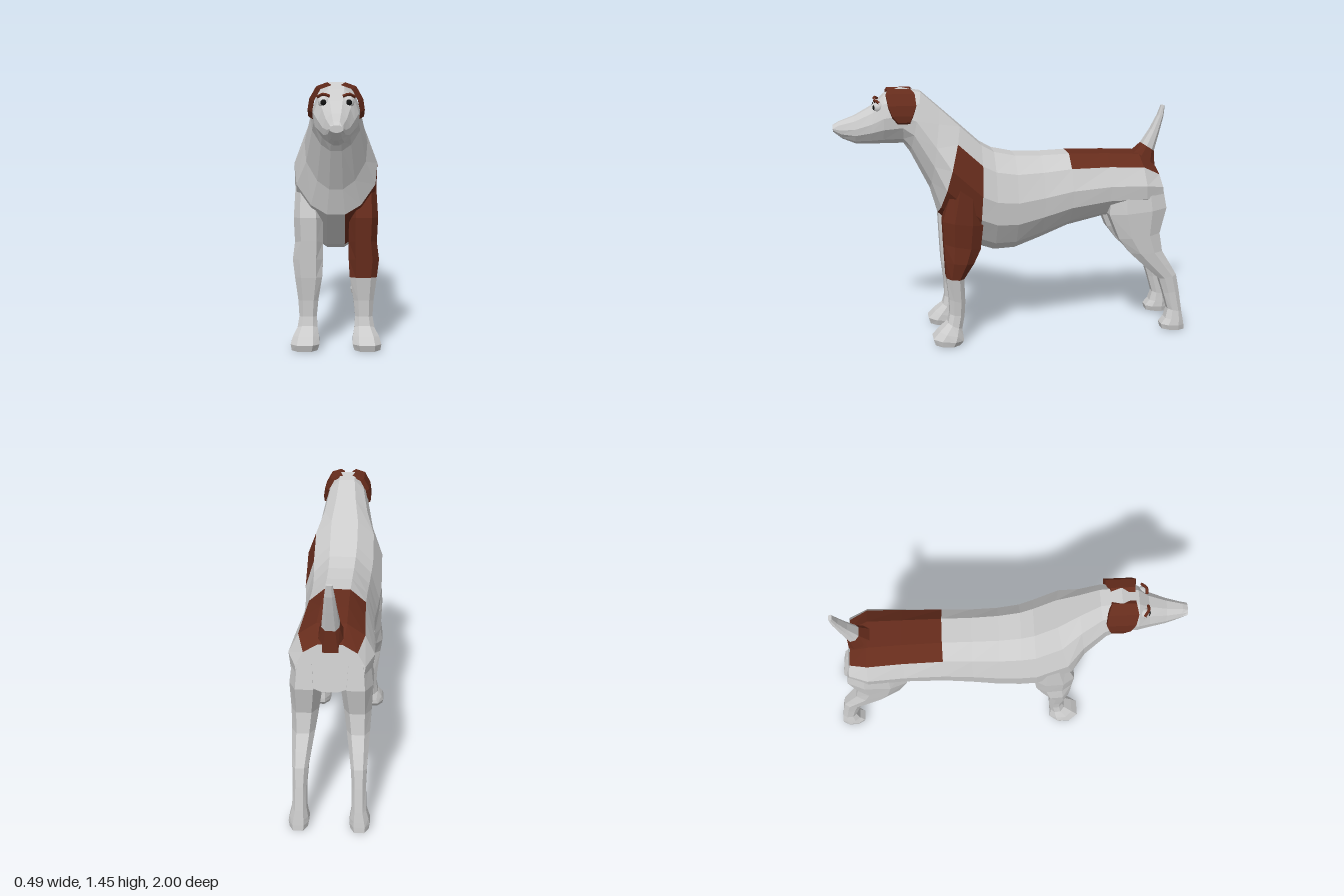
import * as THREE from 'three';

const GREY = 0xcccccc, BROWN = 0x662c1c, BLACK = 0x111111;
const mat = (color) => new THREE.MeshStandardMaterial({ color, flatShading: true });

// Skin closed rings of points; isBrown(segment, strip) picks the marked faces.
function loft(name, rings, isBrown = () => false) {
  const n = rings[0].length, grey = [], brown = [];
  for (let i = 0; i < rings.length - 1; i++) {
    for (let j = 0; j < n; j++) {
      const k = (j + 1) % n, a = rings[i], b = rings[i + 1];
      (isBrown(i, j) ? brown : grey).push([a[j], a[k], b[k]], [a[j], b[k], b[j]]);
    }
  }
  const last = rings[rings.length - 1];
  const capBrown = isBrown(rings.length - 2, 0);
  for (let j = 1; j < n - 1; j++) {
    (isBrown(0, 0) && capBrown ? brown : grey).push([rings[0][0], rings[0][j + 1], rings[0][j]]);
    (capBrown ? brown : grey).push([last[0], last[j], last[j + 1]]);
  }
  // Turn the faces outward whichever way the rings run
  let volume = 0;
  const c = rings[0][0], e = new THREE.Vector3();
  for (const [p, q, r] of [...grey, ...brown]) {
    const u = p.clone().sub(c), v = q.clone().sub(c), w = r.clone().sub(c);
    volume += u.dot(e.crossVectors(v, w));
  }
  const group = new THREE.Group();
  group.name = name;
  for (const [tris, color, label] of [[grey, GREY, 'Coat'], [brown, BROWN, 'Patch']]) {
    if (!tris.length) continue;
    const pts = tris.flatMap(([p, q, r]) => (volume < 0 ? [p, r, q] : [p, q, r]));
    const geo = new THREE.BufferGeometry().setFromPoints(pts);
    geo.computeVertexNormals();
    const mesh = new THREE.Mesh(geo, mat(color));
    mesh.name = name + label;
    group.add(mesh);
  }
  return group;
}

// Body section from a top point to a bottom point: [zTop, yTop, zBottom, yBottom, halfWidth]
const HALF = [[0.35, 0], [0.77, 0.17], [1, 0.45], [0.95, 0.68], [0.6, 0.9], [0.22, 1]];
function bodyRing([zt, yt, zb, yb, w]) {
  const side = (s) => HALF.map(([u, v]) =>
    new THREE.Vector3(s * u * w, yt + (yb - yt) * v, zt + (zb - zt) * v));
  return [...side(1), ...side(-1).reverse()];
}

// Limb section from front to back: [zFront, yFront, zBack, yBack, xInner, xOuter]
const OCT = [[0, -0.55], [0, 0.55], [0.28, 1], [0.72, 1], [1, 0.55], [1, -0.55], [0.72, -1], [0.28, -1]];
const limbRing = (s) => ([zf, yf, zb, yb, xi, xo]) => OCT.map(([v, t]) =>
  new THREE.Vector3(s * ((xi + xo) / 2 + (t * (xo - xi)) / 2), yf + (yb - yf) * v, zf + (zb - zf) * v));

const BODY = [
  [-0.82, 0.98, -0.865, 0.74, 0.175], // rump
  [-0.72, 1.05, -0.75, 0.70, 0.218],
  [-0.53, 1.06, -0.53, 0.69, 0.207],
  [-0.31, 1.065, -0.31, 0.64, 0.2],
  [-0.15, 1.06, -0.15, 0.575, 0.2],
  [0, 1.065, 0, 0.52, 0.207],
  [0.12, 1.09, 0.12, 0.515, 0.215],
  [0.19, 1.13, 0.22, 0.55, 0.225],
  [0.31, 1.24, 0.44, 0.75, 0.222], // shoulders and chest
  [0.42, 1.34, 0.48, 0.89, 0.165], // neck
  [0.52, 1.43, 0.585, 1.10, 0.13],
  [0.63, 1.45, 0.62, 1.15, 0.12], // skull
  [0.72, 1.42, 0.73, 1.15, 0.113],
  [0.78, 1.36, 0.80, 1.15, 0.09], // muzzle
  [0.88, 1.305, 0.88, 1.152, 0.066],
  [0.97, 1.272, 0.95, 1.18, 0.044],
  [1.0, 1.255, 1.0, 1.22, 0.034],
];

const FRONT_LEG = [
  [0.36, 0.95, 0.22, 0.93, 0.1, 0.215],
  [0.425, 0.73, 0.2, 0.70, 0.07, 0.228],
  [0.42, 0.6, 0.215, 0.56, 0.07, 0.222],
  [0.415, 0.50, 0.255, 0.48, 0.07, 0.234],
  [0.41, 0.40, 0.31, 0.39, 0.075, 0.222],
  [0.395, 0.27, 0.305, 0.25, 0.097, 0.205],
  [0.393, 0.18, 0.31, 0.17, 0.105, 0.2],
  [0.405, 0.13, 0.325, 0.09, 0.1, 0.21],
  [0.455, 0.085, 0.32, 0.05, 0.092, 0.235],
  [0.492, 0.045, 0.32, 0.025, 0.09, 0.246],
  [0.48, 0.008, 0.34, 0, 0.1, 0.24],
];

const HIND_LEG = [
  [-0.54, 0.88, -0.84, 0.88, 0.06, 0.195],
  [-0.53, 0.72, -0.865, 0.75, 0.045, 0.212],
  [-0.59, 0.575, -0.83, 0.60, 0.065, 0.205],
  [-0.66, 0.485, -0.85, 0.49, 0.08, 0.2],
  [-0.75, 0.40, -0.90, 0.41, 0.095, 0.195],
  [-0.84, 0.32, -0.942, 0.34, 0.108, 0.19],
  [-0.87, 0.23, -0.963, 0.24, 0.115, 0.187],
  [-0.90, 0.13, -0.985, 0.11, 0.115, 0.19],
  [-0.885, 0.075, -0.993, 0.06, 0.108, 0.203],
  [-0.858, 0.04, -0.997, 0.03, 0.104, 0.21],
  [-0.865, 0.01, -1.0, 0, 0.11, 0.205],
];

const TAIL = [
  [-0.68, 1.03, -0.83, 0.94, -0.07, 0.07],
  [-0.755, 1.1, -0.825, 1.055, -0.045, 0.045],
  [-0.805, 1.18, -0.855, 1.165, -0.034, 0.034],
  [-0.845, 1.26, -0.878, 1.255, -0.025, 0.025],
  [-0.865, 1.318, -0.885, 1.315, -0.016, 0.016],
];

// Drooping ear flap: [x, y, zFront, zBack]
const EAR = [
  [0.045, 1.45, 0.70, 0.575],
  [0.1, 1.43, 0.71, 0.555],
  [0.134, 1.37, 0.70, 0.55],
  [0.143, 1.315, 0.68, 0.57],
  [0.14, 1.28, 0.65, 0.585],
];

function addFace(dog, s) {
  const ear = EAR.map(([x, y, zf, zb]) => [[0, zf], [0, zb], [0.022, zb], [0.022, zf]].map(([d, z]) =>
    new THREE.Vector3(s * (x - d), y - d * 0.6, z)));
  dog.add(loft('ear', ear, () => true));

  const ball = (name, r, color, x, y, z) => {
    const m = new THREE.Mesh(new THREE.SphereGeometry(r, 12, 8), new THREE.MeshStandardMaterial({ color }));
    m.name = name;
    m.position.set(s * x, y, z);
    dog.add(m);
  };
  ball('eye', 0.029, GREY, 0.06, 1.354, 0.75);
  ball('pupil', 0.017, BLACK, 0.062, 1.354, 0.766);

  const path = new THREE.CatmullRomCurve3([[0.032, 1.383, 0.768], [0.06, 1.394, 0.768], [0.092, 1.38, 0.745]]
    .map(([x, y, z]) => new THREE.Vector3(s * x, y, z)));
  const brow = new THREE.Mesh(new THREE.TubeGeometry(path, 6, 0.008, 5), mat(BROWN));
  brow.name = 'eyebrow';
  dog.add(brow);
}

export function createModel() {
  const dog = new THREE.Group();
  dog.name = 'dog';

  // Torso, neck and head with a saddle patch and a left shoulder patch
  dog.add(loft('body', BODY.map(bodyRing), (i, j) =>
    (i < 3 && (j === 0 || j >= 10)) || (i === 7 && j >= 1 && j <= 4)));
  dog.add(loft('tail', TAIL.map(limbRing(1)), (i) => i === 0));

  for (const s of [1, -1]) {
    dog.add(loft('frontLeg', FRONT_LEG.map(limbRing(s)), (i) => s > 0 && i < 4));
    dog.add(loft('hindLeg', HIND_LEG.map(limbRing(s))));
    addFace(dog, s);
  }
  return dog;
}
